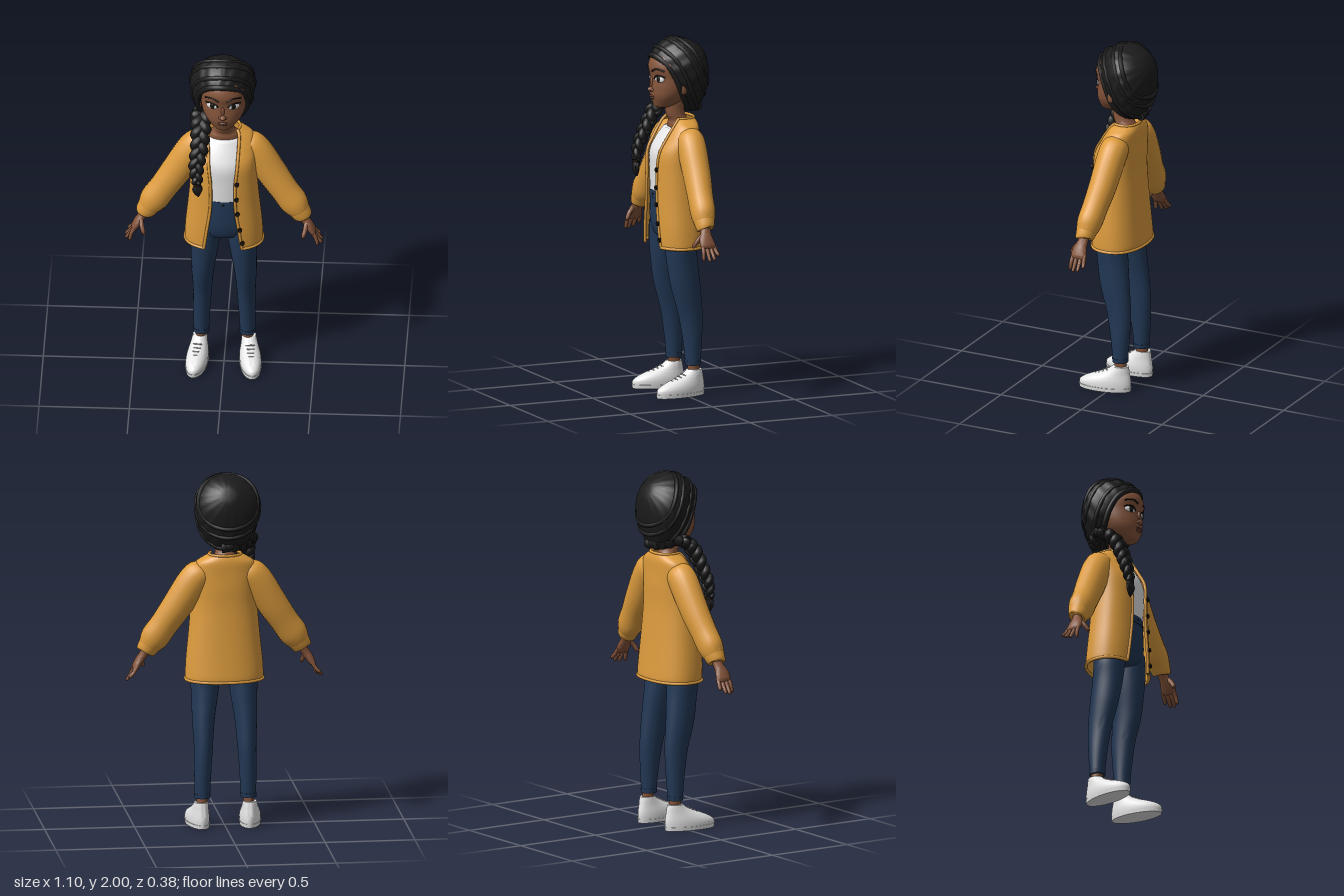
import * as THREE from 'three';
import { toCreasedNormals } from 'three/addons/utils/BufferGeometryUtils.js';

const V = (x, y, z) => new THREE.Vector3(x, y, z);
const mat = (name, color) => Object.assign(new THREE.MeshStandardMaterial({ color }), { name });

// Catmull-Rom interpolation of rows of numbers
function smooth(rows, sub) {
  const out = [], n = rows.length;
  for (let i = 0; i < n - 1; i++) {
    const [p, a, b, q] = [rows[Math.max(i - 1, 0)], rows[i], rows[i + 1], rows[Math.min(i + 2, n - 1)]];
    for (let k = 0; k < sub; k++) {
      const t = k / sub;
      out.push(a.map((v, c) => {
        const c1 = b[c] - p[c], c2 = 2 * p[c] - 5 * v + 4 * b[c] - q[c], c3 = 3 * (v - b[c]) + q[c] - p[c];
        return v + 0.5 * t * (c1 + t * (c2 + t * c3));
      }));
    }
  }
  out.push(rows[n - 1]);
  return out;
}

// Closed loft of ellipses; each row is [x, y, z, halfWidth, halfDepth].
// axis: fixed ring normal, or null to follow the path
function loft(rows, { seg = 28, sub = 5, axis = V(0, 1, 0), ref = V(0, 0, 1), bump = () => 1 } = {}) {
  const rings = smooth(rows, sub), pos = [], idx = [], n = rings.length;
  const c = rings.map(r => V(r[0], r[1], r[2]));
  rings.forEach((r, i) => {
    const T = axis ? axis.clone() : c[Math.min(i + 1, n - 1)].clone().sub(c[Math.max(i - 1, 0)]).normalize();
    const side = T.clone().cross(ref).normalize(), depth = side.clone().cross(T);
    for (let j = 0; j < seg; j++) {
      const a = j / seg * Math.PI * 2, k = bump(a, i / (n - 1));
      const p = c[i].clone().addScaledVector(side, Math.cos(a) * r[3] * k).addScaledVector(depth, Math.sin(a) * r[4] * k);
      pos.push(p.x, p.y, p.z);
      if (i < n - 1) {
        const A = i * seg + j, B = i * seg + (j + 1) % seg;
        idx.push(A, A + seg, B, B, A + seg, B + seg);
      }
    }
  });
  const e = n * seg, last = e - seg;
  pos.push(...c[0].toArray(), ...c[n - 1].toArray());
  for (let j = 0; j < seg; j++) {
    const k = (j + 1) % seg;
    idx.push(e, j, k, e + 1, last + k, last + j);
  }
  const g = new THREE.BufferGeometry();
  g.setAttribute('position', new THREE.Float32BufferAttribute(pos, 3));
  g.setIndex(idx);
  return toCreasedNormals(g, 1.0);
}
const path = { axis: null, seg: 20 };
const tube = (pts, r, n = 24, closed = false) =>
  new THREE.TubeGeometry(new THREE.CatmullRomCurve3(pts.map(p => p.isVector3 ? p : V(...p)), closed), n, r, 8, closed);

export function createModel() {
  const root = new THREE.Group();
  const skin = mat('skin', 0x84543a), hairMat = mat('hair', 0x1b1b1c), wool = mat('mustardWool', 0xdc9b3d);
  const denim = mat('denim', 0x223855), white = mat('white', 0xe6e6e6), grey = mat('laceGrey', 0xbcbcbc);
  const dark = mat('dark', 0x17130f), lip = mat('lip', 0x6c3f31);
  wool.side = THREE.DoubleSide;
  const add = (name, geo, m, p = [0, 0, 0], s = [1, 1, 1], r = [0, 0, 0]) => {
    const o = new THREE.Mesh(geo, m);
    o.name = name;
    o.position.set(...p);
    o.scale.set(...s);
    o.rotation.set(...r);
    root.add(o);
  };
  const ball = new THREE.SphereGeometry(1, 20, 14);

  // Head and neck
  add('head', loft([[0, 1.603, .075, .012, .015], [0, 1.612, .073, .042, .045], [0, 1.635, .055, .072, .073], [0, 1.675, .035, .104, .106],
    [0, 1.72, .02, .122, .122], [0, 1.78, .01, .13, .128], [0, 1.84, .01, .13, .14], [0, 1.9, 0, .11, .127], [0, 1.95, -.01, .06, .07], [0, 1.96, -.01, .01, .01]], { seg: 36 }), skin);
  add('neck', loft([[0, 1.44, -.03, .1, .05], [0, 1.5, -.028, .088, .062], [0, 1.53, -.022, .062, .055], [0, 1.57, -.002, .05, .054], [0, 1.66, .005, .05, .055]]), skin);
  add('nose', ball, skin, [0, 1.712, .143], [.017, .014, .022]);
  add('noseBridge', ball, skin, [0, 1.745, .134], [.011, .036, .013], [.22, 0, 0]);
  add('upperLip', ball, lip, [0, 1.674, .139], [.026, .007, .012]);
  add('lowerLip', ball, lip, [0, 1.663, .136], [.021, .008, .012]);
  for (const s of [-1, 1]) {
    add('nostril', ball, skin, [s * .014, 1.709, .14], [.01, .009, .012]);
    add('eyeWhite', ball, white, [s * .06, 1.775, .118], [.033, .019, .01], [0, s * .45, 0]);
    add('iris', ball, dark, [s * .058, 1.776, .125], [.016, .018, .006], [0, s * .4, 0]);
    add('upperLash', tube([[s * .027, 1.776, .136], [s * .045, 1.793, .132], [s * .068, 1.796, .121], [s * .096, 1.787, .1]], .0045), dark);
    add('eyebrow', tube([[s * .022, 1.818, .147], [s * .055, 1.833, .136], [s * .098, 1.822, .104]], .005), dark);
    add('ear', ball, skin, [s * .133, 1.725, .005], [.012, .034, .022]);
  }

  // Hair mass, lofted back from a slanted hairline: rows of [s back, low, high, half width]
  const up = V(0, .868, .496), back = V(0, .496, -.868);
  const hairRow = ([s, lo, hi, w]) => {
    const p = V(-.01, 1.745, .02).addScaledVector(back, s).addScaledVector(up, (lo + hi) / 2);
    return [p.x, p.y, p.z, w, (hi - lo) / 2];
  };
  const hairRows = [[-.01, -.19, .195, .142], [.03, -.213, .212, .165], [.1, -.175, .217, .18], [.15, -.13, .203, .169],
    [.2, -.066, .155, .122], [.235, 0, .1, .055], [.242, .045, .055, .005]].map(hairRow);
  add('hair', loft(hairRows, { seg: 96, sub: 6, axis: back, ref: up, bump: (a, t) => 1 + .01 * Math.sin(16 * a + 7 * t) }), hairMat);
  // Swept bands running round the head from parting to nape
  const rings = smooth(hairRows, 6);
  [[0, .016], [7, .013], [13, .012], [18, .012]].forEach(([i, r]) => {
    const [x, y, z, w, h] = rings[i], pts = [];
    for (let k = 0; k < 32; k++) {
      const a = k / 32 * Math.PI * 2;
      pts.push(V(x + Math.cos(a) * (w - .005), y, z).addScaledVector(up, Math.sin(a) * (h - .005)).addScaledVector(back, .008 * Math.sin(a * 3)));
    }
    add('hairBand', tube(pts, r, 96, true), hairMat);
  });

  // Three-strand braid over the right shoulder
  const braid = smooth([[0, 1.6, -.11, .04], [-.07, 1.615, -.09, .042], [-.122, 1.635, -.02, .042], [-.125, 1.58, .06, .038], [-.132, 1.48, .112, .034],
    [-.146, 1.38, .152, .029], [-.14, 1.29, .17, .02]], 9);
  for (let k = 0; k < 3; k++) {
    const rows = braid.map(([x, y, z, r], i) => {
      const a = i * .44 + k * Math.PI * 2 / 3;
      return [x + r * .85 * Math.sin(a), y, z + r * .4 * Math.sin(2 * a), r * .72, r * .72];
    });
    add('braidStrand', loft(rows, { axis: null, ref: V(1, 1, 1), seg: 12, sub: 2 }), hairMat);
  }
  add('hairTie', new THREE.CylinderGeometry(.021, .021, .022, 16), dark, [-.14, 1.285, .17]);
  add('braidTuft', loft([[-.14, 1.29, .17, .014, .014], [-.139, 1.255, .173, .027, .019], [-.137, 1.225, .171, .018, .014], [-.134, 1.2, .167, .003, .003]],
    { ...path, bump: a => 1 + .12 * Math.sin(6 * a) }), hairMat);

  // Shirt
  add('shirt', loft([[0, 1.13, .01, .155, .122], [0, 1.25, .012, .165, .121], [0, 1.35, .01, .165, .122], [0, 1.42, -.006, .15, .107], [0, 1.49, -.022, .1, .078]], { seg: 40 }), white);

  // Open cardigan body: rows of [y, centre z, half width, half depth, half opening]
  const coat = smooth([[.835, 0, .215, .143, .105], [.86, 0, .217, .145, .102], [.95, .005, .212, .142, .09], [1.1, .01, .197, .135, .07], [1.25, .014, .185, .13, .068],
    [1.36, .01, .183, .127, .078], [1.44, -.01, .183, .105, .083], [1.5, -.028, .163, .087, .086], [1.53, -.033, .122, .077, .084], [1.547, -.033, .088, .068, .074]], 5);
  const N = 60, coatRows = [], coatIdx = [];
  const pw = v => Math.sign(v) * Math.abs(v) ** .87;
  coat.forEach(([y, cz, w, d, g], i) => {
    const a0 = Math.acos((g / w) ** (1 / .87)), row = [];
    for (let j = 0; j <= N; j++) {
      const a = Math.PI - a0 + j / N * (Math.PI + 2 * a0);
      row.push(V(w * pw(Math.cos(a)), y, cz + d * pw(Math.sin(a))));
      if (i < coat.length - 1 && j < N) {
        const A = i * (N + 1) + j, B = A + N + 1;
        coatIdx.push(A, B, A + 1, A + 1, B, B + 1);
      }
    }
    coatRows.push(row);
  });
  const coatGeo = new THREE.BufferGeometry().setFromPoints(coatRows.flat());
  coatGeo.setIndex(coatIdx);
  coatGeo.computeVertexNormals();
  const rightEdge = coatRows.map(r => r[0]), leftEdge = coatRows.map(r => r[N]);
  add('cardiganBody', coatGeo, wool);
  add('cardiganHem', tube(coatRows[0], .009, 90), wool);
  add('cardiganCollar', tube(coatRows[coatRows.length - 1], .008, 60), wool);
  for (const e of [rightEdge, leftEdge]) add('cardiganPlacket', tube(e, .009, 60), wool);
  // Buttons
  for (const y of [.88, .97, 1.075, 1.17, 1.27]) {
    const e = leftEdge.reduce((p, q) => Math.abs(q.y - y) < Math.abs(p.y - y) ? q : p);
    add('button', new THREE.CylinderGeometry(.013, .013, .01, 16), dark, [e.x + .008, y, e.z + .009], [1, 1, 1], [Math.PI / 2, 0, 0]);
  }

  // Jeans: hips, waistband, fly button
  add('jeansHips', loft([[0, .865, .005, .05, .05], [0, .885, .005, .14, .095], [0, .95, .008, .176, .115], [0, 1.05, .01, .165, .12], [0, 1.145, .01, .145, .119]], { seg: 36 }), denim);
  add('waistband', loft([[0, 1.1, .01, .158, .124], [0, 1.142, .01, .152, .124]], { seg: 36, sub: 1 }), denim);
  add('jeansButton', ball, dark, [0, 1.122, .134], [.008, .008, .003]);

  for (const s of [-1, 1]) {
    // Sleeve and cuff
    add('sleeve', loft([[s * .09, 1.47, -.03, .03, .04], [s * .125, 1.445, -.028, .075, .072], [s * .175, 1.395, -.024, .088, .08], [s * .265, 1.253, -.015, .085, .076],
      [s * .335, 1.148, -.003, .079, .07], [s * .385, 1.076, .005, .08, .068], [s * .412, 1.035, .01, .066, .06], [s * .424, 1.016, .012, .055, .05]], path), wool);
    add('cuff', loft([[s * .405, 1.046, .01, .06, .055], [s * .413, 1.033, .01, .063, .058], [s * .436, .998, .014, .055, .05], [s * .44, .991, .014, .047, .044]], path), wool);
    // Hand
    add('palm', loft([[s * .42, 1.02, .012, .028, .03], [s * .449, .973, .018, .024, .03], [s * .474, .935, .024, .023, .042], [s * .495, .9, .022, .018, .044], [s * .502, .89, .022, .008, .034]], path), skin);
    [[-.012, .531, .85, -.024], [.01, .543, .831, .004], [.032, .541, .825, .032], [.053, .523, .829, .06]].forEach(([z, x, y, tz]) =>
      add('finger', loft([[s * .484, .915, z, .011, .011], [s * .508, .877, (z + tz) / 2, .011, .011], [s * (x - .004), y + .008, tz, .009, .009], [s * x, y, tz, .003, .003]], { ...path, seg: 12 }), skin));
    add('thumb', loft([[s * .458, .965, .035, .013, .014], [s * .452, .93, .068, .013, .013], [s * .442, .9, .086, .011, .011], [s * .438, .888, .09, .003, .003]], { ...path, seg: 12 }), skin);

    // Jeans leg with rolled hem, ankle
    add('jeansLeg', loft([[s * .128, .172, -.052, .042, .042], [s * .126, .3, -.05, .047, .054], [s * .121, .45, -.04, .052, .07], [s * .118, .6, -.014, .062, .085],
      [s * .109, .74, .004, .074, .089], [s * .105, .84, .012, .083, .09], [s * .093, .95, .01, .082, .098]]), denim);
    add('legHem', loft([[s * .128, .168, -.052, .044, .044], [s * .128, .192, -.052, .046, .046]], { sub: 1 }), denim);
    add('ankle', loft([[s * .13, .09, -.055, .032, .036], [s * .13, .14, -.055, .03, .034], [s * .129, .18, -.053, .031, .035]]), skin);

    // Shoe, turned slightly outward
    const shoe = new THREE.Group();
    shoe.name = 'shoe';
    shoe.position.set(s * .136, 0, -.055);
    shoe.rotation.y = s * .13;
    const put = (name, geo, m) => {
      const o = new THREE.Mesh(geo, m);
      o.name = name;
      shoe.add(o);
    };
    put('upper', loft([[0, .012, .088, .058, .148], [0, .04, .087, .06, .15], [0, .062, .075, .058, .137], [0, .082, .055, .053, .114],
      [0, .102, .03, .047, .085], [0, .125, .008, .042, .059], [0, .145, -.002, .038, .045]], { seg: 36 }), white);
    put('sole', loft([[0, 0, .088, .059, .149], [0, .022, .088, .062, .153]], { seg: 36, sub: 1 }), white);
    for (const [z, y] of [[.143, .088], [.122, .098], [.1, .109], [.08, .121]])
      put('lace', tube([[-.032, y - .012, z - .022], [-.015, y, z - .004], [0, y + .003, z], [.015, y, z - .004], [.032, y - .012, z - .022]], .0035, 16), grey);
    root.add(shoe);
  }
  return root;
}
